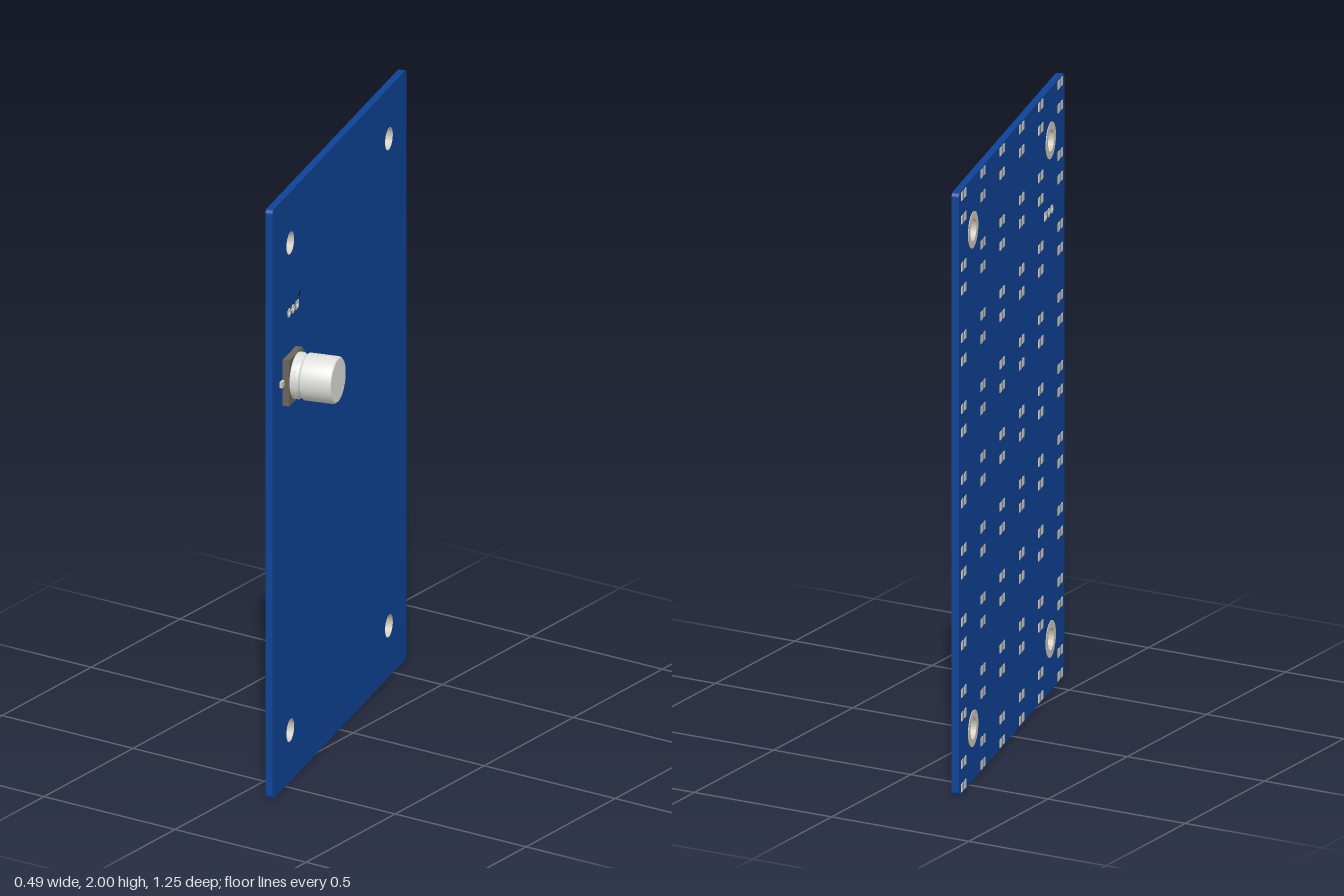
import * as THREE from 'three';
import { mergeGeometries, toCreasedNormals } from 'three/addons/utils/BufferGeometryUtils.js';

const W = 1.287, H = 2, T = 0.024, FRONT = T / 2;
const mat = (name, color) => Object.assign(new THREE.MeshStandardMaterial({ color }), { name });

// Closed shape from [u, y] points, u running along the board
const poly = (pts) => new THREE.Shape(pts.map(([u, y]) => new THREE.Vector2(-u, y)));

function circle(Kind, u, y, r) {
  const p = new Kind();
  p.absarc(-u, y, r, 0, Math.PI * 2);
  return p;
}

// Extrude a shape along the board normal (local +x), starting at x0
function plate(shape, x0, depth) {
  const g = new THREE.ExtrudeGeometry(shape, { depth, bevelEnabled: false, curveSegments: 16 });
  return g.rotateY(Math.PI / 2).translate(x0, 0, 0);
}

function ring(u, y, inner, outer, x0, depth) {
  const s = circle(THREE.Shape, u, y, outer);
  s.holes.push(circle(THREE.Path, u, y, inner));
  return plate(s, x0, depth);
}

export function createModel() {
  const blue = mat('board blue', 0x0e4396);
  const metal = mat('pad metal', 0xcfcabe);
  const silver = mat('can silver', 0xdededa);
  const dark = mat('base grey', 0x6a655e);
  const black = mat('marker black', 0x151515);

  const model = new THREE.Group();
  model.name = 'circuitBoard';
  const tilted = new THREE.Group();
  tilted.name = 'turnedBoard';
  tilted.rotation.y = THREE.MathUtils.degToRad(15);
  tilted.position.x = -0.0655;
  model.add(tilted);
  const add = (name, geo, m) => {
    const mesh = new THREE.Mesh(geo, m);
    mesh.name = name;
    tilted.add(mesh);
    return mesh;
  };

  // Hole positions
  const mounts = [];
  for (const u of [-0.473, 0.473]) for (const y of [0.173, 1.827]) mounts.push([u, y]);
  const pins = [0.487, 0.449, 0.4105].map((u) => [u, 1.595]);

  // Board with small rounded corners
  const r = 0.016, a = W / 2, s = new THREE.Shape();
  s.absarc(a - r, H - r, r, 0, Math.PI / 2);
  s.absarc(-a + r, H - r, r, Math.PI / 2, Math.PI);
  s.absarc(-a + r, r, r, Math.PI, Math.PI * 1.5);
  s.absarc(a - r, r, r, Math.PI * 1.5, Math.PI * 2);
  for (const [u, y] of mounts) s.holes.push(circle(THREE.Path, u, y, 0.0375));
  for (const [u, y] of pins) s.holes.push(circle(THREE.Path, u, y, 0.0085));
  add('board', plate(s, -FRONT, T), blue);

  // Mounting hole linings and the rings behind them
  add('mountingHoleLinings', mergeGeometries(mounts.map(([u, y]) => ring(u, y, 0.036, 0.0375, -FRONT, T))), metal);
  add('mountingHoleRings', mergeGeometries(mounts.map(([u, y]) => ring(u, y, 0.036, 0.06, -FRONT - 0.002, 0.002))), metal);

  // Three pin holes; the last has a square pad
  const pinParts = [];
  pins.forEach(([u, y], i) => {
    for (const x0 of [FRONT, -FRONT - 0.002]) {
      if (i < 2) pinParts.push(ring(u, y, 0.0075, 0.015, x0, 0.002));
      else {
        const h = 0.014;
        const sq = poly([[u - h, y - h], [u + h, y - h], [u + h, y + h], [u - h, y + h]]);
        sq.holes.push(circle(THREE.Path, u, y, 0.0075));
        pinParts.push(plate(sq, x0, 0.002));
      }
    }
    pinParts.push(ring(u, y, 0.0075, 0.0085, -FRONT, T));
  });
  add('pinHoles', mergeGeometries(pinParts), metal);
  add('pinMarker', plate(circle(THREE.Shape, 0.39, 1.626, 0.008), FRONT, 0.002), black);

  // Grid of four-pad footprints on the back
  const pads = [];
  for (let j = -4; j <= 4; j++) for (let k = -3; k <= 3; k++) {
    for (const du of [-0.1, 0.1]) for (const dy of [-0.039, 0.039]) {
      const u = k * 0.235 + du;
      if (Math.abs(u) > a - 0.015) continue;
      pads.push(new THREE.BoxGeometry(0.002, 0.028, 0.022).translate(-FRONT - 0.001, 1 + j * 0.2355 + dy, u));
    }
  }
  add('backPads', mergeGeometries(pads), metal);

  // Capacitor: base with two cut corners, leads and grooved can
  const cu = 0.474, cy = 1.382, b = 0.078, c = 0.03;
  add('capacitorBase', plate(poly([
    [cu + b, cy - b], [cu + b, cy + b], [cu - b + c, cy + b],
    [cu - b, cy + b - c], [cu - b, cy - b + c], [cu - b + c, cy - b],
  ]), FRONT + 0.002, 0.022), dark);
  for (const side of [-1, 1]) {
    const lead = add(side > 0 ? 'leadLeft' : 'leadRight', new THREE.BoxGeometry(0.008, 0.02, 0.06), metal);
    lead.position.set(FRONT + 0.004, cy, cu + side * 0.07);
  }
  const profile = [[0, 0.03], [0.07, 0.03], [0.0755, 0.036], [0.0755, 0.05], [0.071, 0.055], [0.07, 0.06],
    [0.071, 0.065], [0.0765, 0.071], [0.0765, 0.164], [0.075, 0.169], [0.071, 0.173], [0, 0.173]];
  const can = new THREE.LatheGeometry(profile.map(([x, y]) => new THREE.Vector2(x, y)), 40);
  can.rotateZ(-Math.PI / 2).translate(0, cy, cu);
  add('capacitorCan', toCreasedNormals(can, 0.6), silver);

  return model;
}
